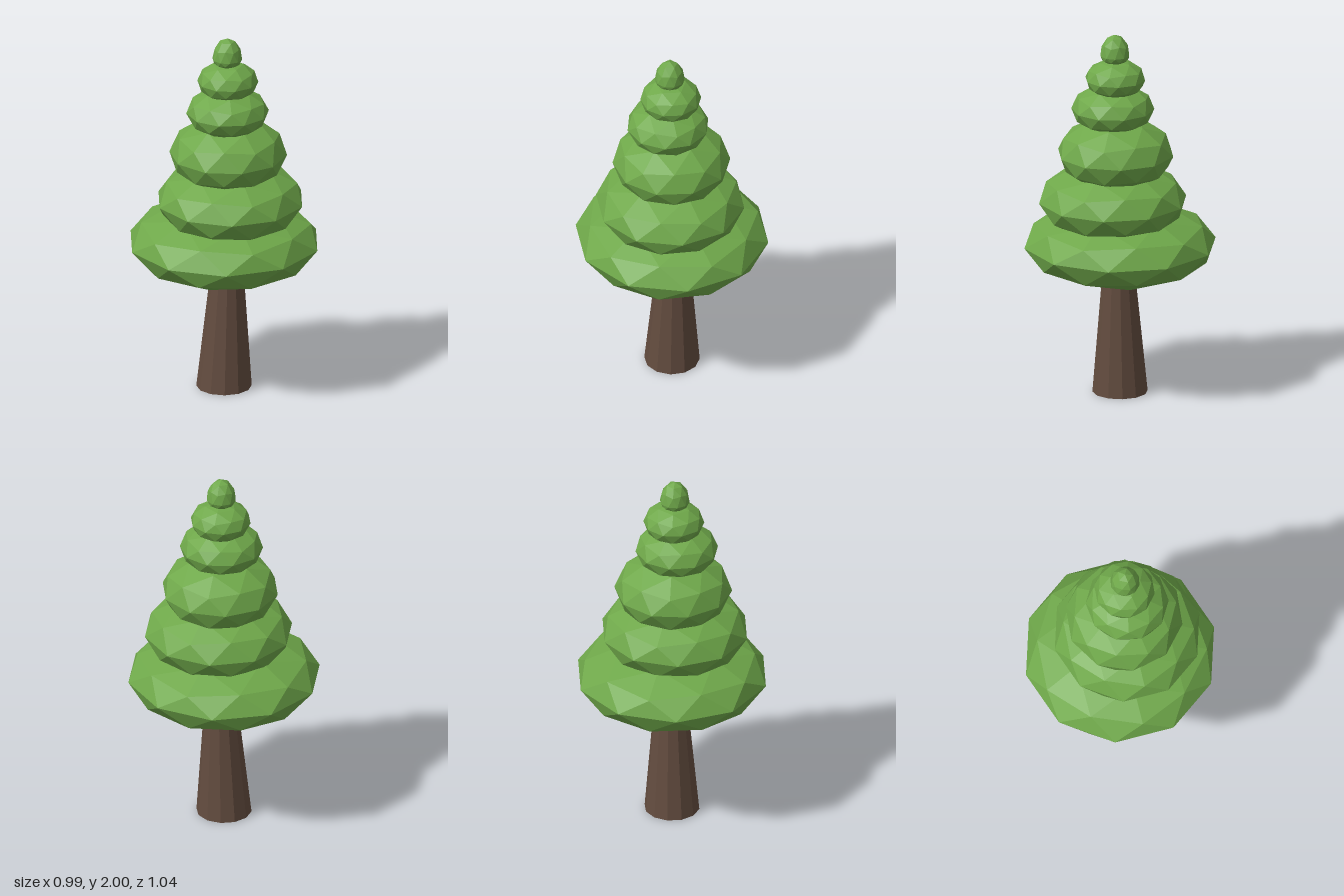
import * as THREE from 'three';

const leafMaterial = new THREE.MeshStandardMaterial({ color: 0x6fa84a, flatShading: true });
const barkMaterial = new THREE.MeshStandardMaterial({ color: 0x634c3f, flatShading: true });

// Squashed icosphere with a vertex at each pole; upper and lower halves have their own heights
function foliageTier({ x, y, z, radius, up, down, turn }) {
  const geometry = new THREE.IcosahedronGeometry(1, 1);
  geometry.rotateZ(-Math.atan(2 / (1 + Math.sqrt(5))));
  geometry.rotateY(THREE.MathUtils.degToRad(turn));
  const p = geometry.attributes.position;
  for (let i = 0; i < p.count; i++) {
    const h = p.getY(i);
    p.setXYZ(i, x + p.getX(i) * radius, y + h * (h > 0 ? up : down), z + p.getZ(i) * radius);
  }
  geometry.computeVertexNormals();
  return new THREE.Mesh(geometry, leafMaterial);
}

// Tapered trunk, leaning slightly towards +x
function trunk() {
  const height = 0.72;
  const geometry = new THREE.CylinderGeometry(0.083, 0.148, height, 12);
  geometry.translate(0, height / 2, 0);
  const p = geometry.attributes.position;
  for (let i = 0; i < p.count; i++) p.setX(i, p.getX(i) + p.getY(i) * 0.025);
  geometry.computeVertexNormals();
  const mesh = new THREE.Mesh(geometry, barkMaterial);
  mesh.name = 'trunk';
  return mesh;
}

export function createModel() {
  const tree = new THREE.Group();
  tree.name = 'tree';
  tree.add(trunk());

  // Foliage from the widest tier up to the pointed tip
  const tiers = [
    { x: 0, y: 0.83, z: 0, radius: 0.52, up: 0.205, down: 0.21, turn: 0 },
    { x: 0.033, y: 1.08, z: 0.028, radius: 0.4, up: 0.195, down: 0.2, turn: 0 },
    { x: 0.022, y: 1.34, z: 0.015, radius: 0.315, up: 0.195, down: 0.19, turn: 12 },
    { x: 0.018, y: 1.585, z: 0.034, radius: 0.222, up: 0.13, down: 0.13, turn: -13 },
    { x: 0.02, y: 1.755, z: 0.018, radius: 0.163, up: 0.105, down: 0.105, turn: 12.5 },
    { x: 0.017, y: 1.885, z: 0.022, radius: 0.08, up: 0.115, down: 0.05, turn: 8 },
  ];
  tiers.forEach((tier, i) => {
    const mesh = foliageTier(tier);
    mesh.name = i < tiers.length - 1 ? `foliageTier${i + 1}` : 'foliageTip';
    tree.add(mesh);
  });
  return tree;
}
